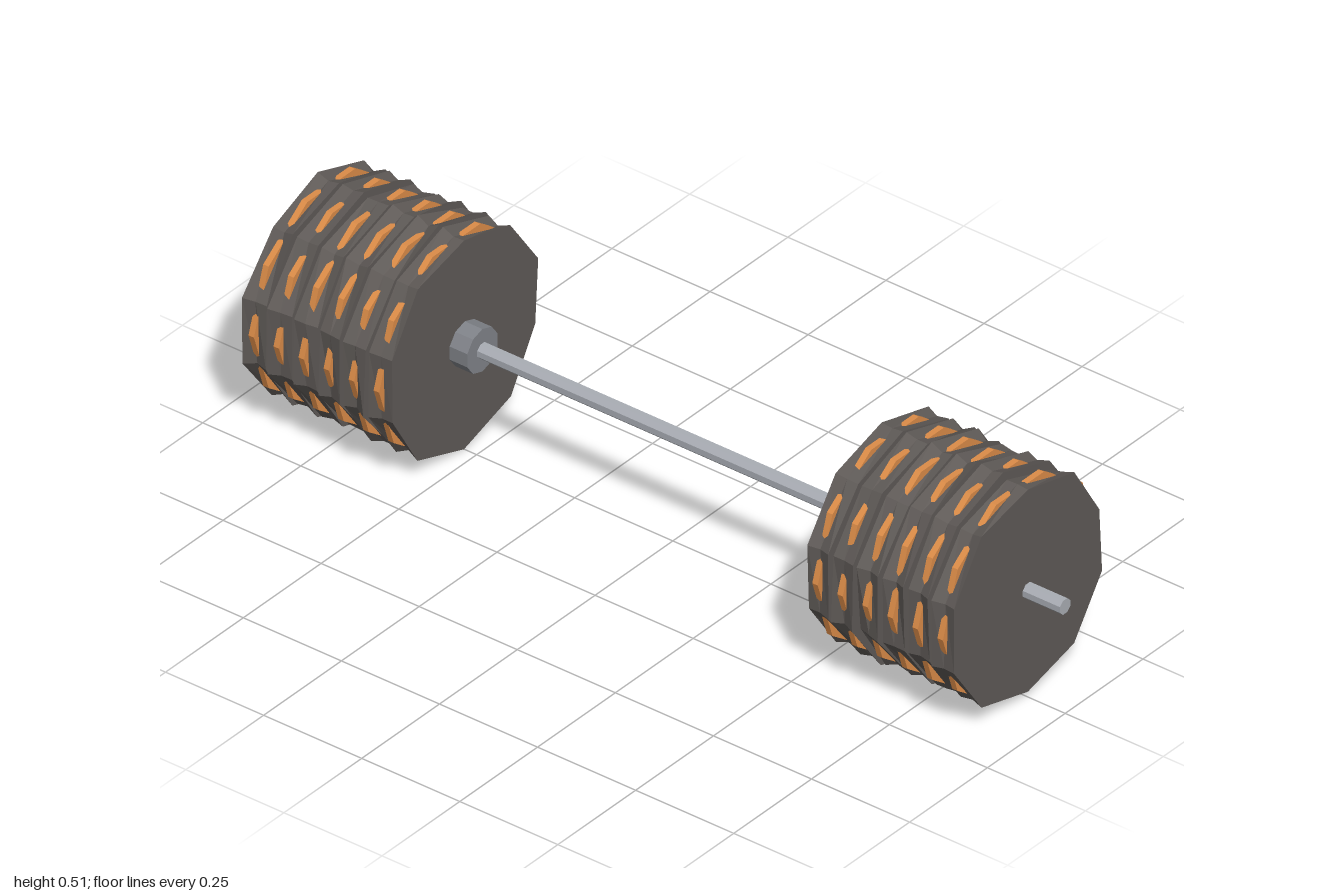
import * as THREE from 'three';

const AXIS_Y = 0.259, SIDES = 10, STEP = Math.PI * 2 / SIDES;

const mat = (color) => new THREE.MeshStandardMaterial({ color, flatShading: true });

// Repeatable pseudo-random value in 0..1
function hash(n) {
  const s = Math.sin(n * 127.1 + 11.7) * 43758.5453;
  return s - Math.floor(s);
}

// Faceted cylinder lying along x, with a corner pointing up when turn = 0
function rod(radius, width, sides, turn = 0, rings = 1) {
  return new THREE.CylinderGeometry(radius, radius, width, sides, rings, false, Math.PI / 2 + turn)
    .rotateZ(Math.PI / 2);
}

// Ten-sided plate with a shallow groove round the rim and uneven corners
function plateGeometry(width, seed) {
  const geo = rod(1, width, SIDES, 0, 2);
  const p = geo.attributes.position;
  for (let i = 0; i < p.count; i++) {
    const x = p.getX(i), y = p.getY(i), z = p.getZ(i);
    if (Math.hypot(y, z) < 0.5) continue;
    const corner = (Math.round(Math.atan2(z, y) / STEP) + SIDES) % SIDES;
    const ring = Math.round(x / width * 2) + 1;
    const h = hash(seed * 40 + ring * 10 + corner);
    const r = ring === 1 ? 0.239 + 0.009 * h : 0.238 + 0.019 * Math.sqrt(h);
    p.setXYZ(i, x, y * r, z * r);
  }
  geo.computeVertexNormals();
  return geo;
}

export function createModel() {
  const model = new THREE.Group();
  const steel = mat(0xa9adb4), collarGrey = mat(0x808389);
  const iron = mat(0x5f5a57), orange = mat(0xdc8c48);

  const add = (parent, name, geo, material, x) => {
    const mesh = new THREE.Mesh(geo, material);
    mesh.name = name;
    mesh.position.set(x, AXIS_Y, 0);
    parent.add(mesh);
  };

  add(model, 'bar', rod(0.018, 2, 8, Math.PI / 8), steel, 0);

  // Collar and six plates with coloured bands at each end
  for (const side of [-1, 1]) {
    const stack = new THREE.Group();
    stack.name = side > 0 ? 'leftWeights' : 'rightWeights';
    add(stack, 'collar', rod(0.051, 0.045, 10), collarGrey, side * 0.508);
    for (let i = 0; i < 6; i++) {
      const x = side * (0.559 + i * 0.0638);
      add(stack, 'plate', plateGeometry(0.054, i + (side > 0 ? 1 : 8)), iron, x);
      add(stack, 'band', rod(0.248, 0.014, SIDES, STEP / 2), orange, x);
    }
    model.add(stack);
  }
  return model;
}
